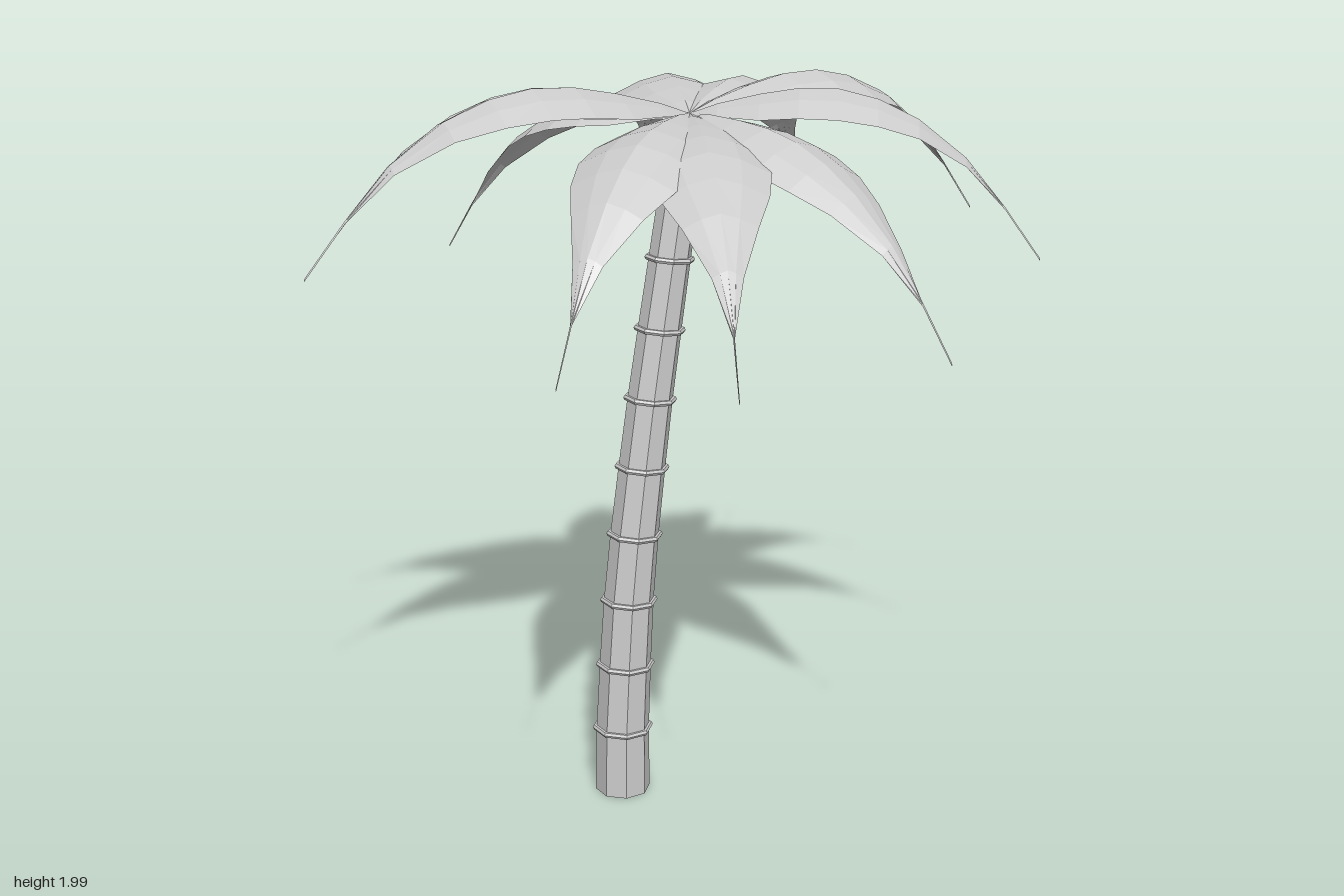
import * as THREE from 'three';

const lightGrey = new THREE.MeshStandardMaterial({ color: 0xcccccc, flatShading: true, side: THREE.DoubleSide });
lightGrey.name = 'light grey';

// Trunk centre line: x at equal height steps
const HEIGHT = 1.9;
const STEPS = 10;
const CROWN_X = 0.04;
const trunkX = [-0.182, -0.18, -0.17, -0.157, -0.137, -0.112, -0.085, -0.054, -0.022, 0.01, CROWN_X];
const trunkRadius = (y) => THREE.MathUtils.lerp(0.077, 0.053, y / HEIGHT);

// Frond stations: fraction of reach, arch above the straight line to the tip, half width
const stations = [
  [0, 0, 0.018],
  [0.08, 0.058, 0.06],
  [0.2, 0.131, 0.13],
  [0.31, 0.19, 0.152],
  [0.42, 0.231, 0.156],
  [0.53, 0.247, 0.135],
  [0.645, 0.238, 0.092],
  [0.78, 0.188, 0.038],
  [0.895, 0.099, 0.002],
  [1, 0, 0.001],
];

// Rounded roof section: position across, share of the edge drop
const section = [[-1, 1], [-0.5, 0.35], [0, 0], [0.5, 0.35], [1, 1]];

// Frond tips: x, y, z
const tips = [
  [1.0, 1.55, 0.01], [0.81, 1.5, -0.55], [0.415, 1.505, -0.86], [-0.29, 1.44, -0.78],
  [-0.7, 1.51, -0.69], [-1.0, 1.56, -0.14], [-0.71, 1.42, 0.61], [-0.38, 1.4, 0.87],
  [0.235, 1.4, 0.87], [0.78, 1.53, 0.56],
];

function makeTrunk() {
  const geo = new THREE.CylinderGeometry(trunkRadius(HEIGHT), trunkRadius(0), HEIGHT, 8, STEPS, true, Math.PI / 8);
  geo.translate(0, HEIGHT / 2, 0);
  const p = geo.attributes.position;
  for (let i = 0; i < p.count; i++) {
    const k = Math.round((p.getY(i) / HEIGHT) * STEPS);
    p.setX(i, p.getX(i) + trunkX[k]);
  }
  geo.computeVertexNormals();
  const mesh = new THREE.Mesh(geo, lightGrey);
  mesh.name = 'trunk';
  return mesh;
}

// Leaf running along +x; fronds that hang lower also arch less
function makeFrondGeometry(reach, fall, arch) {
  const pos = [];
  const index = [];
  const n = section.length;
  stations.forEach(([t, lift, w], i) => {
    const drop = 0.33 * w + 0.006;
    for (const [s, d] of section) pos.push(t * reach, t * fall + lift * arch - drop * d, s * w);
    if (i === 0) return;
    for (let j = 0; j < n - 1; j++) {
      const a = (i - 1) * n + j;
      index.push(a, a + 1, a + n, a + 1, a + n + 1, a + n);
    }
  });
  const geo = new THREE.BufferGeometry();
  geo.setAttribute('position', new THREE.Float32BufferAttribute(pos, 3));
  geo.setIndex(index);
  const flat = geo.toNonIndexed();
  flat.computeVertexNormals();
  return flat;
}

export function createModel() {
  const model = new THREE.Group();
  model.name = 'palmTree';
  model.add(makeTrunk());

  // Rings around the trunk joints
  const rings = new THREE.Group();
  rings.name = 'trunkRings';
  for (let k = 1; k < STEPS; k++) {
    const y = (k * HEIGHT) / STEPS;
    const geo = new THREE.TorusGeometry(trunkRadius(y) + 0.003, 0.008, 6, 8);
    geo.rotateZ(Math.PI / 8).rotateX(Math.PI / 2);
    const ring = new THREE.Mesh(geo, lightGrey);
    ring.name = 'trunkRing';
    ring.position.set(trunkX[k], y, 0);
    ring.rotation.z = -Math.atan2(trunkX[k + 1] - trunkX[k - 1], (2 * HEIGHT) / STEPS) * 0.6;
    rings.add(ring);
  }
  model.add(rings);

  // Coconuts around the trunk under the crown
  const nutGeo = new THREE.SphereGeometry(0.045, 8, 6);
  for (let i = 0; i < 4; i++) {
    const a = (i * Math.PI) / 2;
    const nut = new THREE.Mesh(nutGeo, lightGrey);
    nut.name = 'coconut';
    nut.position.set(0.025 + 0.07 * Math.cos(a), 1.795, 0.07 * Math.sin(a));
    model.add(nut);
  }

  // Crown of fronds, each reaching its own tip
  const crown = new THREE.Group();
  crown.name = 'crown';
  crown.position.set(CROWN_X, HEIGHT, 0);
  for (const [x, y, z] of tips) {
    const dx = x - CROWN_X;
    const arch = THREE.MathUtils.mapLinear(y, 1.4, 1.55, 0.78, 1);
    const frond = new THREE.Mesh(makeFrondGeometry(Math.hypot(dx, z), y - HEIGHT, arch), lightGrey);
    frond.name = 'frond';
    frond.rotation.y = Math.atan2(-z, dx);
    crown.add(frond);
  }
  model.add(crown);
  return model;
}
